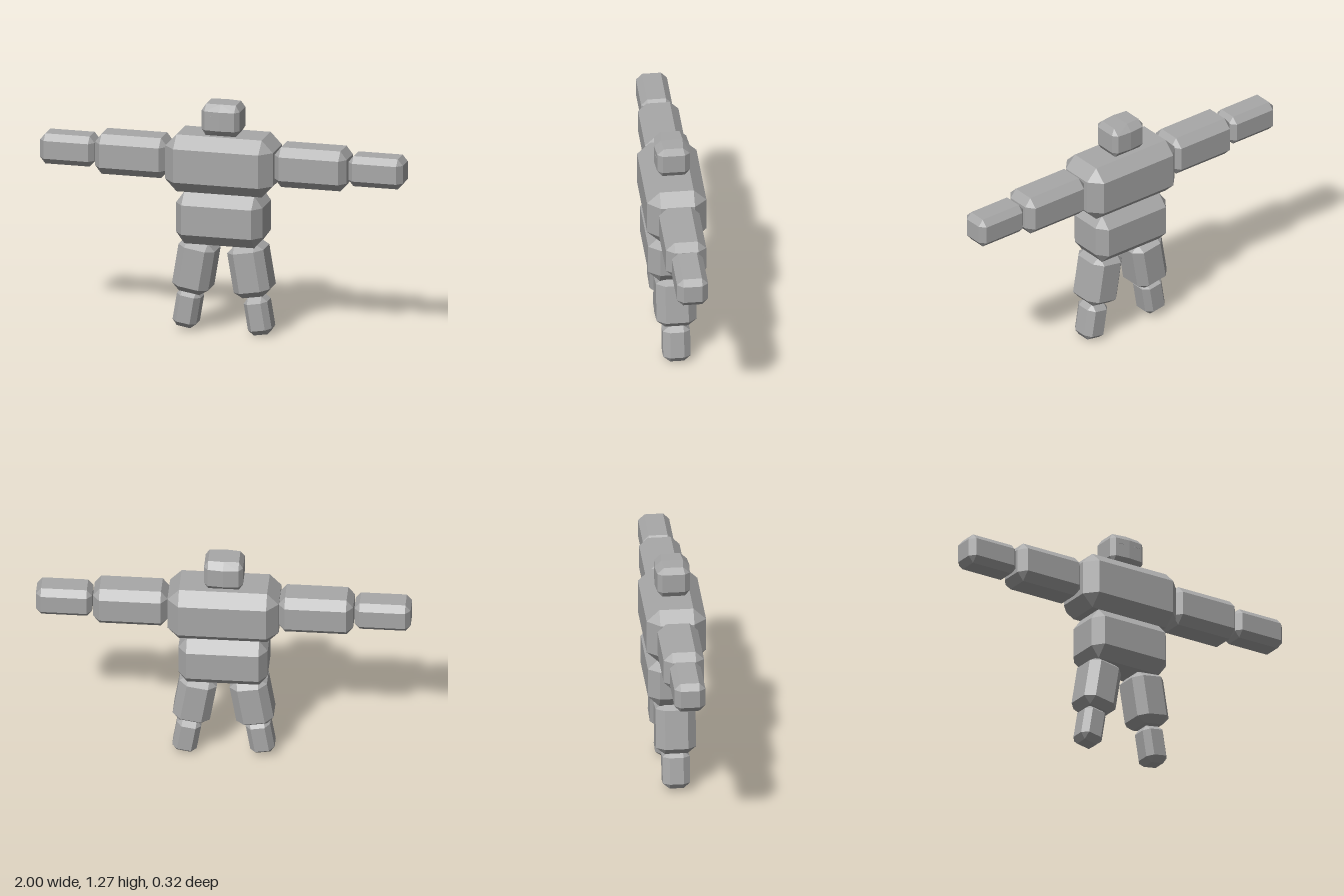
import * as THREE from 'three';
import { ConvexGeometry } from 'three/addons/geometries/ConvexGeometry.js';

const grey = new THREE.MeshStandardMaterial({ color: 0xa8a8a8, flatShading: true });
grey.name = 'plain grey';

// Box with all edges and corners cut off: half sizes and cut depth per axis.
function chamferPoints([hx, hy, hz], [bx, by, bz]) {
  const pts = [];
  for (const x of [-1, 1]) for (const y of [-1, 1]) for (const z of [-1, 1]) {
    pts.push(
      new THREE.Vector3(x * hx, y * (hy - by), z * (hz - bz)),
      new THREE.Vector3(x * (hx - bx), y * hy, z * (hz - bz)),
      new THREE.Vector3(x * (hx - bx), y * (hy - by), z * hz)
    );
  }
  return pts;
}

function block(name, half, cut, position, tilt = 0) {
  const mesh = new THREE.Mesh(new ConvexGeometry(chamferPoints(half, cut)), grey);
  mesh.name = name;
  mesh.position.set(...position);
  mesh.rotation.z = tilt;
  return mesh;
}

export function createModel() {
  const model = new THREE.Group();
  model.name = 'blockFigure';

  // Body
  model.add(
    block('torso', [0.297, 0.157, 0.159], [0.062, 0.065, 0.068], [-0.002, 0.94, 0]),
    block('pelvis', [0.238, 0.143, 0.148], [0.045, 0.062, 0.061], [-0.002, 0.641, 0])
  );

  // Head: slightly bowed front, back and crown
  const headPoints = chamferPoints([0.104, 0.086, 0.087], [0.022, 0.034, 0.027]);
  for (const p of headPoints) if (p.y > 0.08) p.z *= 0.85;
  for (const z of [-1, 1]) {
    headPoints.push(
      new THREE.Vector3(0, 0.052, z * 0.094),
      new THREE.Vector3(0, -0.052, z * 0.094),
      new THREE.Vector3(0, 0.088, z * 0.058)
    );
  }
  const head = new THREE.Group();
  head.name = 'head';
  head.position.set(-0.002, 1.182, 0);
  const skull = new THREE.Mesh(new ConvexGeometry(headPoints), grey);
  skull.name = 'skull';
  head.add(skull);

  // Limbs, mirrored; the right foot sits a touch higher
  for (const [side, s] of [['left', 1], ['right', -1]]) {
    const tilt = s * 0.165;
    model.add(
      block(side + 'UpperArm', [0.199, 0.11, 0.108], [0.035, 0.045, 0.046], [s * 0.495, 0.95, -0.002]),
      block(side + 'Forearm', [0.15, 0.083, 0.083], [0.028, 0.034, 0.033], [s * 0.85, 0.954, -0.001]),
      block(side + 'Thigh', [0.101, 0.145, 0.107], [0.044, 0.036, 0.046], [s * 0.152, 0.362, 0], tilt),
      block(side + 'Shin', [0.066, 0.104, 0.073], [0.028, 0.03, 0.036], [s * 0.196, s > 0 ? 0.111 : 0.125, 0], tilt)
    );

    // Narrow eye slit
    const eye = new THREE.Mesh(new THREE.BoxGeometry(0.03, 0.004, 0.004), grey);
    eye.name = side + 'EyeSlit';
    eye.position.set(s * 0.05, 0.024, 0.09);
    eye.rotation.y = s * 0.085;
    head.add(eye);
  }
  model.add(head);
  return model;
}
